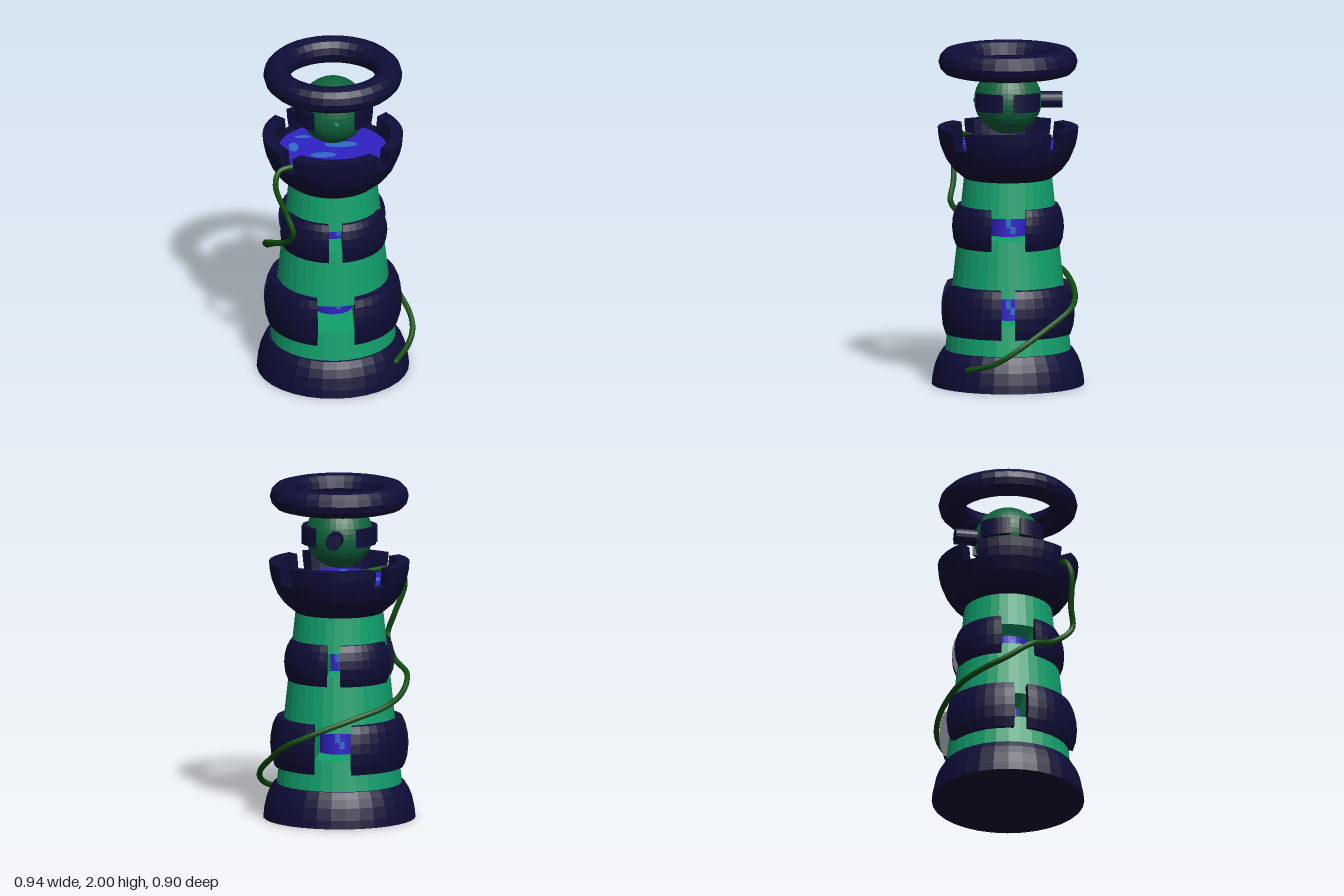
import * as THREE from 'three';

const SIDES = 32;
const mat = (name, color) => {
  const m = new THREE.MeshStandardMaterial({ color });
  m.name = name;
  return m;
};

// Faceted normals without touching the material
function flat(geo) {
  const g = geo.index ? geo.toNonIndexed() : geo;
  g.computeVertexNormals();
  return g;
}

const lathe = (pts) => flat(new THREE.LatheGeometry(pts.map(([r, y]) => new THREE.Vector2(r, y)), SIDES));

// Sweeps a closed (radius, y) loop through one quadrant, cut flat at x = a and z = b.
// Loop order: up the outside, down the inside.
function quadrant(loop, a, b, steps = 8) {
  const pos = [];
  const n = loop.length;
  const at = (i, j) => {
    const [r, y] = loop[j % n];
    const t0 = Math.asin(Math.min(1, a / r));
    const t1 = Math.max(t0, Math.acos(Math.min(1, b / r)));
    const t = t0 + (t1 - t0) * i / steps;
    return [r * Math.sin(t), y, r * Math.cos(t)];
  };
  const tri = (p, q, s) => pos.push(...p, ...q, ...s);
  for (let i = 0; i < steps; i++) {
    for (let j = 0; j < n; j++) {
      tri(at(i, j), at(i + 1, j), at(i + 1, j + 1));
      tri(at(i, j), at(i + 1, j + 1), at(i, j + 1));
    }
  }
  for (let j = 1; j < n - 1; j++) {
    tri(at(0, 0), at(0, j), at(0, j + 1));
    tri(at(steps, 0), at(steps, j + 1), at(steps, j));
  }
  const g = new THREE.BufferGeometry();
  g.setAttribute('position', new THREE.Float32BufferAttribute(pos, 3));
  g.computeVertexNormals();
  return g;
}

export function createModel() {
  const model = new THREE.Group();
  model.name = 'tower';
  const tower = new THREE.Group();
  tower.name = 'towerBody';
  tower.position.x = -0.02;
  model.add(tower);

  const navy = mat('navy', 0x0e0d38);
  const teal = mat('teal', 0x11a06c);
  const green = mat('deepGreen', 0x0f623c);
  const vineGreen = mat('vineGreen', 0x114d10);
  const blue = mat('glowBlue', 0x3022c4);
  const paleBlue = mat('paleBlue', 0x3069cc);

  const add = (name, geo, material, parent = tower) => {
    const m = new THREE.Mesh(geo, material);
    m.name = name;
    parent.add(m);
    return m;
  };
  // Four quadrants with front/back gap half-width a and side gap half-width b
  const ring = (name, loop, a, b, material, turn = 0) => {
    const g = new THREE.Group();
    g.name = name;
    for (let k = 0; k < 4; k++) {
      const geo = k % 2 ? quadrant(loop, b, a) : quadrant(loop, a, b);
      add(name + 'Segment', geo, material, g).rotation.y = turn + k * Math.PI / 2;
    }
    tower.add(g);
  };

  // Flared foot
  add('base', lathe([[0, 0], [0.45, 0], [0.445, 0.05], [0.43, 0.12], [0.41, 0.17], [0.385, 0.21], [0, 0.21]]), navy);

  // Tapered shaft in three drums, separated by window levels
  const bodyR = (y) => 0.37 - (y - 0.21) * 0.108;
  for (const [y0, y1] of [[0.2, 0.39], [0.55, 0.89], [1.02, 1.24]]) {
    add('shaft', lathe([[0, y0], [bodyR(y0), y0], [bodyR(y1), y1], [0, y1]]), teal);
  }

  // Window levels: shaft corners, glowing core and bulging collar
  const levels = [
    { y0: 0.39, y1: 0.55, a: 0.11, b: 0.04, lo: 0.31, hi: 0.6, R: 0.408 },
    { y0: 0.89, y1: 1.02, a: 0.04, b: 0.1, lo: 0.825, hi: 1.07, R: 0.332 },
  ];
  for (const { y0, y1, a, b, lo, hi, R } of levels) {
    const c = Math.hypot(a, b);
    ring('windowWall', [[c, y0], [bodyR(y0), y0], [bodyR(y1), y1], [c, y1]], a, b, teal);
    const h = hi - lo;
    ring('collar', [
      [bodyR(lo) - 0.02, lo], [R - 0.025, lo], [R - 0.007, lo + 0.2 * h], [R, lo + 0.45 * h],
      [R - 0.004, lo + 0.65 * h], [R - 0.016, lo + 0.85 * h], [R - 0.035, hi], [bodyR(hi) - 0.02, hi],
    ], a, b, navy);
    const core = new THREE.CylinderGeometry(0.12, 0.12, y1 - y0, SIDES);
    add('glowCore', flat(core), blue).position.y = (y0 + y1) / 2;
    // Pale flecks on the core
    for (let k = 0; k < 4; k++) {
      for (const [t, dy, size] of [[-0.1, 0.015, 0.05], [0.12, -0.025, 0.04]]) {
        const fleck = new THREE.CylinderGeometry(0.122, 0.122, size, 3, 1, true, t + k * Math.PI / 2, 0.24);
        add('coreFleck', fleck, paleBlue).position.y = (y0 + y1) / 2 + dy;
      }
    }
  }

  // Crown bowl with four diagonal slits in its rim
  add('crownBowl', lathe([[0, 1.23], [0.26, 1.23], [0.325, 1.285], [0.365, 1.34], [0.398, 1.42], [0, 1.42]]), navy);
  ring('crownRim', [[0.325, 1.42], [0.398, 1.42], [0.41, 1.475], [0.415, 1.53], [0.34, 1.53]], 0.05, 0.05, navy, Math.PI / 4);

  // Glowing pool in the crown with pale patches
  add('pool', flat(new THREE.CylinderGeometry(0.325, 0.325, 0.008, SIDES)), blue).position.y = 1.424;
  for (const [x, z, sx, sz] of [[-0.23, -0.03, 0.03, 0.06], [-0.17, -0.16, 0.05, 0.02], [0, 0.23, 0.03, 0.05],
    [-0.08, 0.22, 0.025, 0.03], [0.2, 0.15, 0.03, 0.04], [0.05, -0.05, 0.1, 0.04], [-0.06, 0.08, 0.08, 0.035]]) {
    const patch = add('poolPatch', new THREE.CircleGeometry(1, 9), paleBlue);
    patch.rotation.x = -Math.PI / 2;
    patch.scale.set(sx, sz, 1);
    patch.position.set(x, 1.4295, z);
  }

  // Floating orb with a split band, a rear stub and a tiny front dot
  add('orb', flat(new THREE.SphereGeometry(0.2, SIDES, 20)), green).position.y = 1.69;
  ring('orbBand', [[0.185, 1.64], [0.224, 1.64], [0.224, 1.745], [0.185, 1.745]], 0.12, 0.03, navy);
  const stub = add('rearStub', flat(new THREE.CylinderGeometry(0.048, 0.048, 0.16, 16)), navy);
  stub.rotation.x = Math.PI / 2;
  stub.position.set(0, 1.693, -0.24);
  add('frontDot', new THREE.CircleGeometry(0.014, 8), teal).position.set(0.012, 1.69, 0.202);

  // Halo ring
  const halo = add('halo', flat(new THREE.TorusGeometry(0.33, 0.08, 12, SIDES)), navy);
  halo.rotation.x = Math.PI / 2;
  halo.position.y = 1.92;

  // Vine spiralling from the crown slit down to the foot
  const path = new THREE.CatmullRomCurve3([
    [-0.17, 1.44, 0.17], [-0.27, 1.445, 0.25], [-0.35, 1.43, 0.28], [-0.375, 1.35, 0.31], [-0.31, 1.16, 0.32],
    [-0.27, 1.04, 0.335], [-0.32, 0.92, 0.21], [-0.415, 0.85, 0.06], [-0.4, 0.76, -0.08], [-0.32, 0.7, -0.22],
    [-0.17, 0.65, -0.33], [0.1, 0.55, -0.395], [0.25, 0.48, -0.365], [0.36, 0.38, -0.23], [0.44, 0.28, -0.08],
    [0.45, 0.22, 0.01], [0.42, 0.17, 0.1], [0.34, 0.13, 0.24],
  ].map((p) => new THREE.Vector3(...p)));
  add('vine', new THREE.TubeGeometry(path, 120, 0.017, 8), vineGreen, model);
  for (const t of [0, 1]) {
    add('vineTip', new THREE.SphereGeometry(0.017, 8, 6), vineGreen, model).position.copy(path.getPoint(t));
  }
  return model;
}
